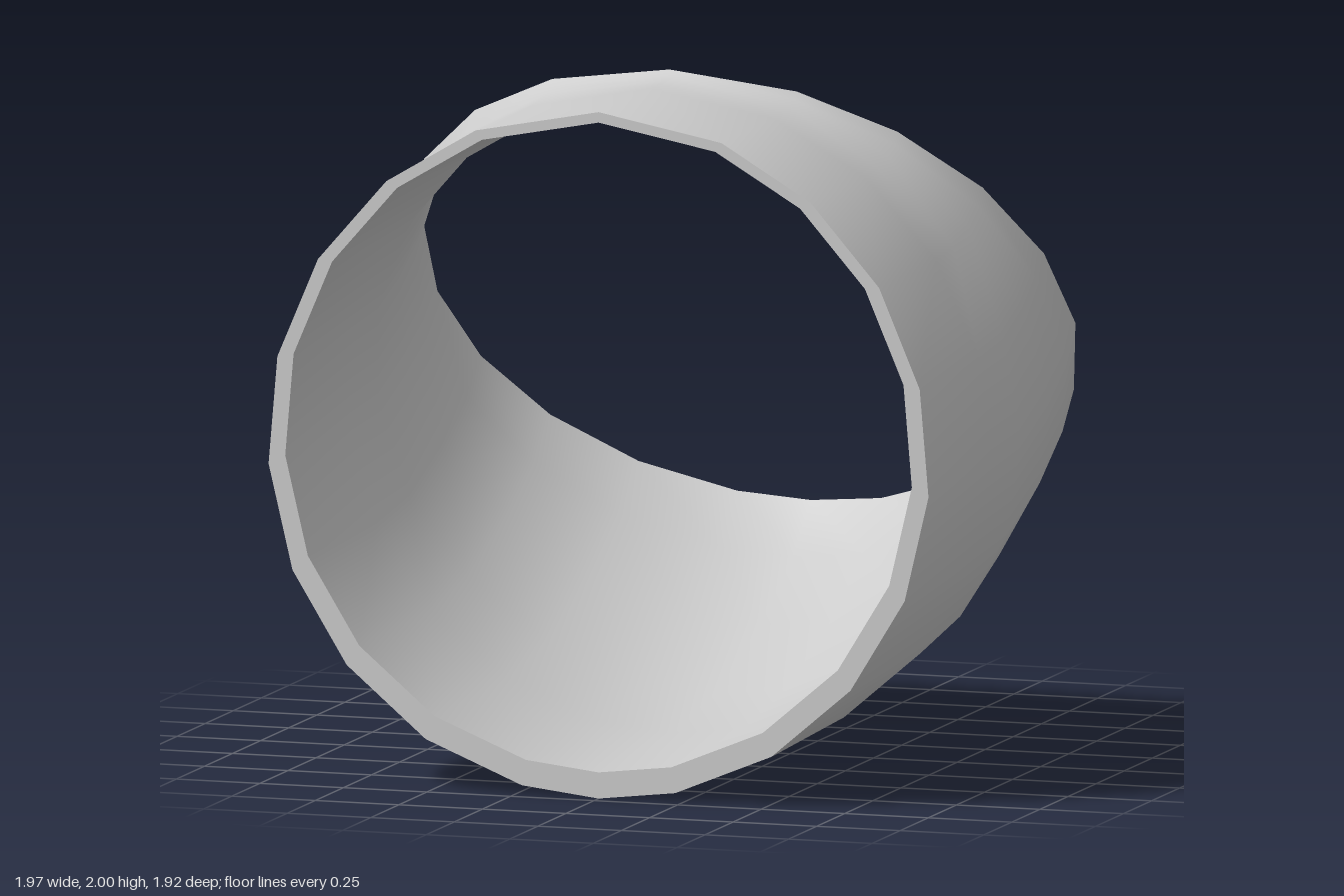
import * as THREE from 'three';

// Angles around the pipe, measured from the top: a narrow step at the bottom, a wide one at the top
const half = Array.from({ length: 9 }, (_, k) => THREE.MathUtils.degToRad(21.8 + 18.1 * k));
const ANGLES = [0, ...half, Math.PI, ...half.map(a => -a).reverse()];

// Elliptical section from its top and bottom points [z, y] and its half width
function section([tz, ty], [bz, by], rx) {
  return ANGLES.map(a => {
    const t = (1 - Math.cos(a)) / 2;
    return [rx * Math.sin(a), ty + (by - ty) * t, tz + (bz - tz) * t];
  });
}

// Smooth skin through a list of sections
function loft(name, sections) {
  const n = ANGLES.length, index = [];
  for (let i = 0; i < sections.length - 1; i++) {
    for (let j = 0; j < n; j++) {
      const a = i * n + j, b = i * n + (j + 1) % n;
      index.push(a, b, a + n, b, b + n, a + n);
    }
  }
  const geometry = new THREE.BufferGeometry();
  geometry.setAttribute('position', new THREE.Float32BufferAttribute(sections.flat(2), 3));
  geometry.setIndex(index);
  geometry.computeVertexNormals();
  const mesh = new THREE.Mesh(geometry, new THREE.MeshStandardMaterial({ color: 0xcccccc }));
  mesh.name = name;
  return mesh;
}

export function createModel() {
  // Outer wall: sections fan around the inside of the bend, front to back
  const outer = [
    section([0.96, 1.97], [0.96, 0], 0.99),
    section([0.5, 1.97], [0.3, 0.02], 0.99),
    section([0.42, 1.97], [-0.11, 0.085], 0.99),
    section([0.375, 1.975], [-0.52, 0.235], 0.99),
    section([0.35, 1.985], [-0.81, 0.4], 0.988),
    section([0.33, 2.0], [-0.96, 0.545], 0.985),
  ];
  // Bore, slightly narrower than the wall
  const inner = [
    section([0.96, 1.94], [0.96, 0.075], 0.94),
    section([0.5, 1.93], [0.3, 0.09], 0.935),
    section([0.41, 1.93], [-0.08, 0.15], 0.935),
    section([0.36, 1.93], [-0.48, 0.29], 0.935),
    section([0.32, 1.94], [-0.77, 0.44], 0.935),
    section([0.29, 1.955], [-0.93, 0.579], 0.93),
  ];

  const elbow = new THREE.Group();
  elbow.name = 'pipeElbow';
  elbow.add(
    loft('outerWall', outer),
    loft('innerWall', [...inner].reverse()),
    loft('frontRim', [inner[0], outer[0]]),
    loft('backRim', [outer[5], inner[5]]),
  );
  return elbow;
}
